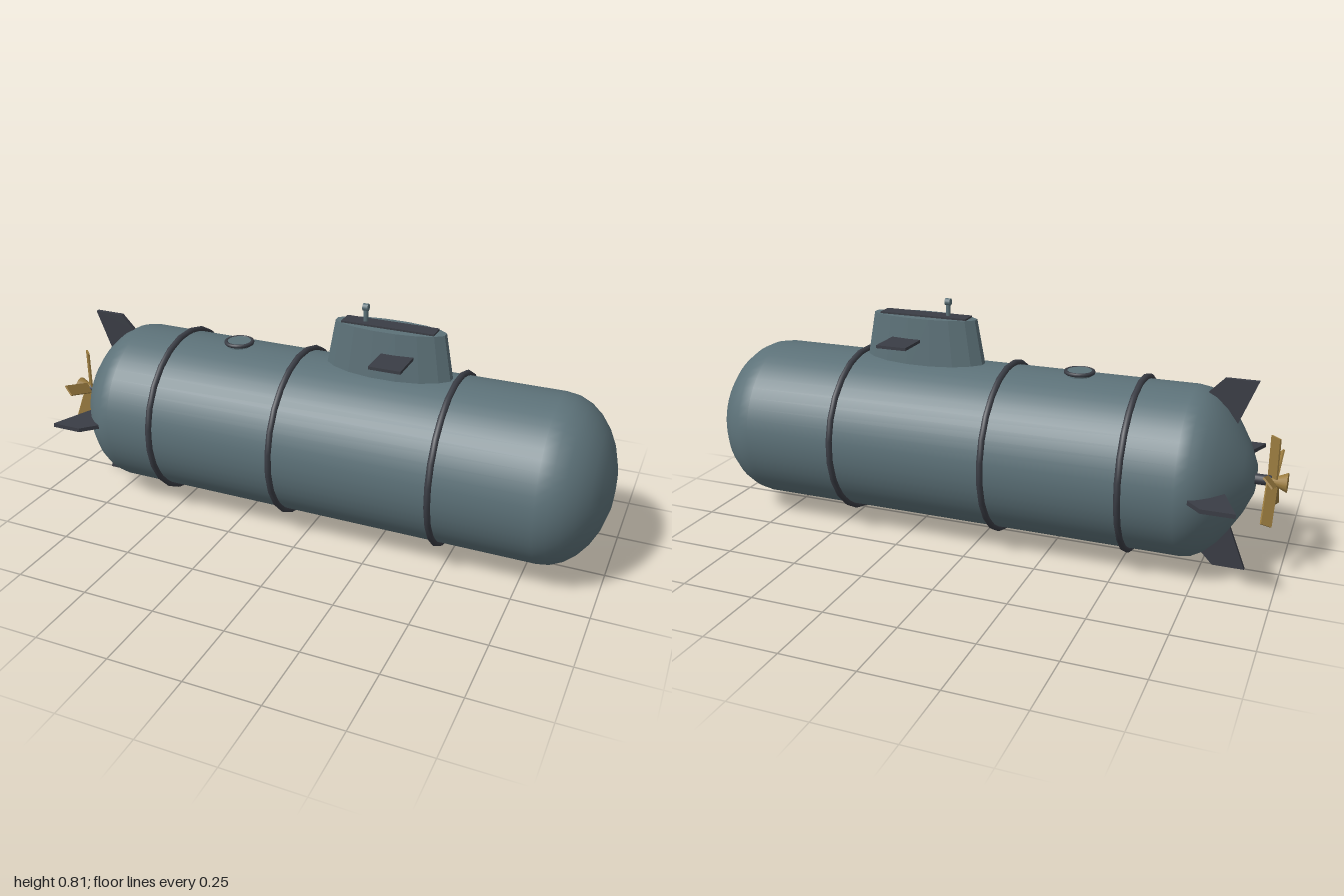
import * as THREE from 'three';

export function createModel() {
  const root = new THREE.Group();
  root.name = 'submarine';
  const mat = (name, color, flatShading = false) => {
    const m = new THREE.MeshStandardMaterial({ color, flatShading });
    m.name = name;
    return m;
  };
  const hullPaint = mat('hullPaint', 0x5c7178);
  const darkMetal = mat('darkMetal', 0x3a3d45);
  const brass = mat('brass', 0x9c7d40);
  const AXIS = 0.32, R = 0.28;

  const add = (name, geometry, material, x = 0, y = 0, z = 0, parent = root) => {
    const m = new THREE.Mesh(geometry, material);
    m.name = name;
    m.position.set(x, y, z);
    parent.add(m);
    return m;
  };
  const box = (name, w, h, d, material, x, y, z = 0, parent = root) =>
    add(name, new THREE.BoxGeometry(w, h, d), material, x, y, z, parent);
  // cylinder lying along x; the first radius is at the +x end
  const xCylinder = (name, rFront, rBack, length, material, x, y, sides = 16) =>
    add(name, new THREE.CylinderGeometry(rFront, rBack, length, sides).rotateZ(-Math.PI / 2), material, x, y);

  // hull: tapered tail, straight body, elliptical nose
  const profile = [[0, -0.9], [0.05, -0.9], [0.115, -0.872], [0.175, -0.835], [0.222, -0.8],
    [0.255, -0.765], [0.274, -0.73], [R, -0.695]].map(([r, x]) => new THREE.Vector2(r, x));
  for (const deg of [0, 12, 24, 36, 48, 60, 75, 90]) {
    const a = deg * Math.PI / 180;
    profile.push(new THREE.Vector2(deg === 90 ? 0 : R * Math.cos(a), 0.8 + 0.198 * Math.sin(a)));
  }
  add('hull', new THREE.LatheGeometry(profile, 48).rotateZ(-Math.PI / 2), hullPaint, 0, AXIS);

  // reinforcing bands
  for (const x of [-0.525, -0.073, 0.473]) {
    const band = new THREE.TorusGeometry(0.286, 0.011, 8, 24).rotateZ(Math.PI / 24).rotateY(Math.PI / 2);
    add('hullBand', band, darkMetal, x, AXIS);
  }

  // keel
  box('keel', 1.31, 0.03, 0.028, darkMetal, 0.045, 0.037);

  // conning tower: tapered elliptical column with flat facets
  const tower = new THREE.CylinderGeometry(0.86, 1.02, 0.19, 16, 1, false, Math.PI / 16)
    .scale(0.22, 1, 0.0705).toNonIndexed();
  tower.computeVertexNormals();
  add('tower', tower, hullPaint, 0.237, 0.655);
  box('towerDeck', 0.315, 0.008, 0.058, darkMetal, 0.235, 0.752);
  for (const s of [-1, 1]) box('divePlane', 0.107, 0.01, 0.14, darkMetal, 0.283, 0.674, s * 0.108);

  // periscope
  add('periscopeMast', new THREE.CylinderGeometry(0.008, 0.008, 0.07, 10), hullPaint, 0.152, 0.775);
  xCylinder('periscopeHead', 0.012, 0.012, 0.018, hullPaint, 0.152, 0.803);

  // deck hatch with a dark rim
  add('hatchLid', new THREE.CylinderGeometry(0.044, 0.044, 0.03, 24), hullPaint, -0.313, 0.599);
  add('hatchRim', new THREE.TorusGeometry(0.045, 0.007, 8, 24).rotateX(Math.PI / 2), darkMetal, -0.313, 0.609);

  // four tail fins
  const finShape = new THREE.Shape([[-0.89, 0.32], [-0.815, 0.13], [-0.735, 0.13], [-0.735, 0.268], [-0.785, 0.32]]
    .map(([x, y]) => new THREE.Vector2(x, y)));
  const finGeometry = new THREE.ExtrudeGeometry(finShape, { depth: 0.014, bevelEnabled: false }).translate(0, 0, -0.007);
  for (let i = 0; i < 4; i++) add('tailFin', finGeometry, darkMetal, 0, AXIS).rotation.x = i * Math.PI / 2;

  // propeller: shaft, flared hub and five pitched blades
  xCylinder('propellerShaft', 0.017, 0.017, 0.07, darkMetal, -0.915, AXIS);
  xCylinder('propellerHub', 0.001, 0.032, 0.07, brass, -0.965, AXIS);
  const propeller = new THREE.Group();
  propeller.name = 'propeller';
  propeller.position.set(-0.953, AXIS, 0);
  root.add(propeller);
  for (let i = 0; i < 5; i++) {
    const arm = new THREE.Group();
    arm.name = 'propellerBlade';
    arm.rotation.x = i * Math.PI * 2 / 5;
    propeller.add(arm);
    box('blade', 0.043, 0.135, 0.006, brass, 0, 0.0785, 0, arm).rotation.y = -Math.PI / 4;
  }
  return root;
}
